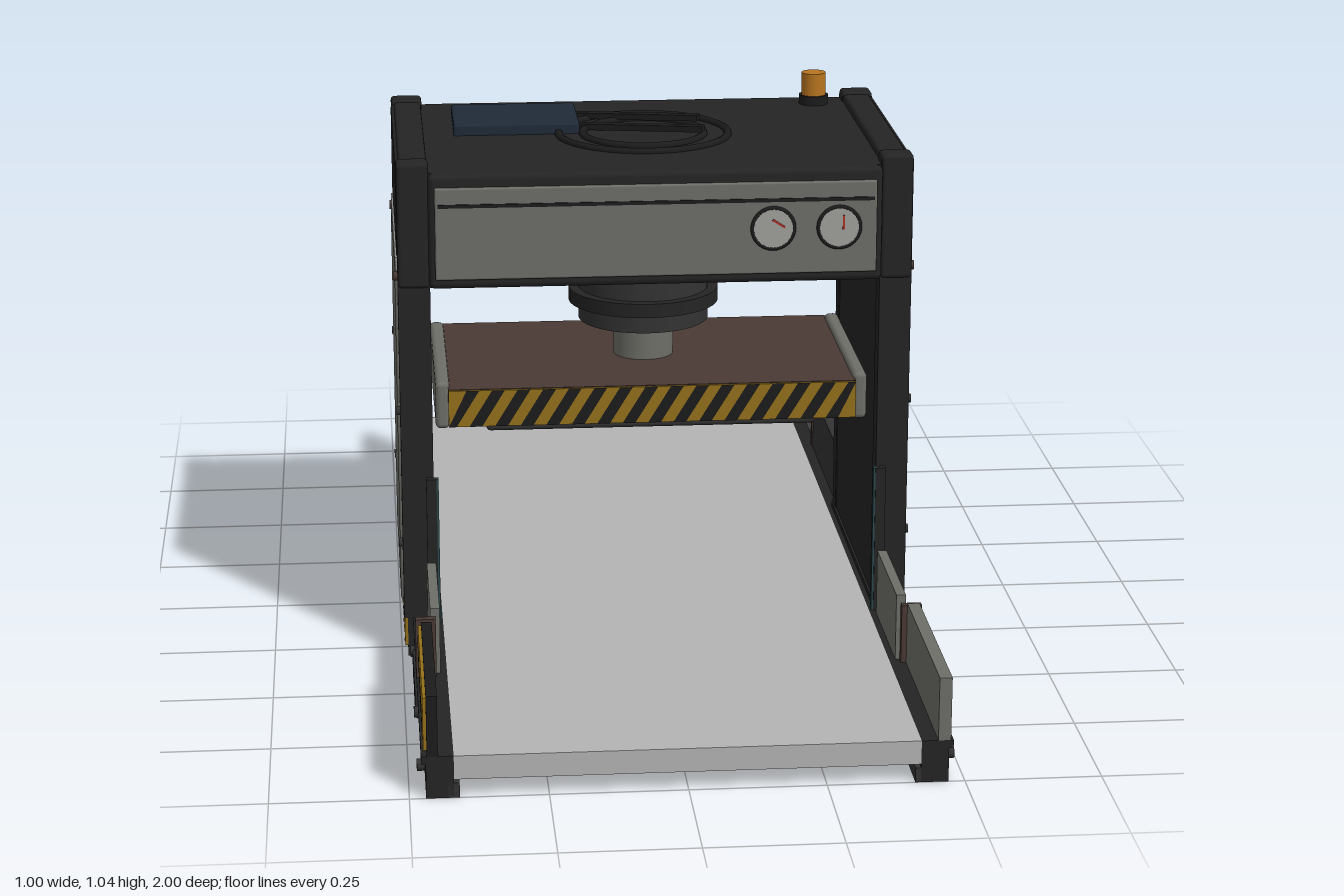
import * as THREE from 'three';
import { RoundedBoxGeometry } from 'three/addons/geometries/RoundedBoxGeometry.js';

const mat = (color) => new THREE.MeshStandardMaterial({ color });
const M = {
  black: mat(0x242424), dark: mat(0x333333), steel: mat(0x6e6e68), light: mat(0x8a8a86), belt: mat(0xb4b4b4),
  yellow: mat(0x94701a), stripe: mat(0x1c1c1c), amber: mat(0xb87420), screen: mat(0x202a38), red: mat(0xb03028),
  dial: mat(0xa0a09c), brown: mat(0x4a3a34), teal: mat(0x2c4a4e),
};

export function createModel() {
  const root = new THREE.Group();

  const add = (name, geo, m, parent = root) => {
    const mesh = new THREE.Mesh(geo, m);
    mesh.name = name;
    parent.add(mesh);
    return mesh;
  };
  // Box from its limits on each axis, optionally with rounded edges
  const box = (name, m, x0, x1, y0, y1, z0, z1, r = 0, parent = root) => {
    const s = [x1 - x0, y1 - y0, z1 - z0];
    const mesh = add(name, r ? new RoundedBoxGeometry(...s, 2, r) : new THREE.BoxGeometry(...s), m, parent);
    mesh.position.set((x0 + x1) / 2, (y0 + y1) / 2, (z0 + z1) / 2);
    return mesh;
  };
  // Same box on the +x side (s = 1) or the -x side (s = -1)
  const sideBox = (s, name, m, x0, x1, ...rest) =>
    s > 0 ? box(name, m, x0, x1, ...rest) : box(name, m, -x1, -x0, ...rest);
  const cyl = (name, m, r, y0, y1, x = 0, z = 0, seg = 40) => {
    const mesh = add(name, new THREE.CylinderGeometry(r, r, y1 - y0, seg), m);
    mesh.position.set(x, (y0 + y1) / 2, z);
    return mesh;
  };
  // Yellow strip with slanted dark bars, facing +z before turning; lean > 0 gives "/"
  const hazard = (name, w, h, count, lean, x, y, z, turn) => {
    const g = new THREE.Group();
    g.name = name;
    add('warningPlate', new THREE.BoxGeometry(w, h, 0.006), M.yellow, g);
    const step = w / count, bar = step * 0.5, half = lean / 2;
    const clamp = (v) => Math.max(-w / 2, Math.min(w / 2, v));
    const shapes = [];
    for (let i = 0; i < count; i++) {
      const c = -w / 2 + (i + 0.5) * step;
      shapes.push(new THREE.Shape([
        [c - bar / 2 - half, -h / 2], [c + bar / 2 - half, -h / 2],
        [c + bar / 2 + half, h / 2], [c - bar / 2 + half, h / 2],
      ].map(([px, py]) => new THREE.Vector2(clamp(px), py))));
    }
    add('warningBars', new THREE.ShapeGeometry(shapes), M.stripe, g).position.z = 0.004;
    g.position.set(x, y, z);
    g.rotation.y = turn;
    root.add(g);
  };

  // Conveyor belt
  box('conveyorBelt', M.belt, -0.42, 0.42, 0.035, 0.08, -1, 1);

  for (const s of [1, -1]) {
    const turn = s * Math.PI / 2;
    // Conveyor rail with foot, fittings and bolts
    sideBox(s, 'rail', M.black, 0.42, 0.47, 0, 0.08, -1, 1);
    sideBox(s, 'railFoot', M.dark, 0.41, 0.43, 0, 0.028, -1, 1);
    sideBox(s, 'railLip', M.black, 0.465, 0.478, 0.065, 0.08, -1, 1);
    for (const [z, w, m] of [[0.87, 0.09, M.brown], [0.565, 0.15, M.brown], [-0.6, 0.12, M.dark], [-0.46, 0.08, M.dark]])
      sideBox(s, 'railFitting', m, 0.46, 0.482, 0.012, 0.062, s * z - w / 2, s * z + w / 2, 0.006);
    for (const z of [-0.94, -0.69, -0.38, 0.38, 0.73, 0.96]) {
      const bolt = cyl('railBolt', M.dark, 0.011, 0, 0.02, s * 0.475, s * z, 10);
      bolt.rotation.z = Math.PI / 2;
      bolt.position.y = 0.04;
    }

    // Guard boards along the rail: one warning board per side, at opposite ends
    sideBox(s, 'innerGuardBoard', M.steel, 0.432, 0.45, 0.08, 0.21, 0.35, 0.6);
    sideBox(s, 'guardBracket', M.brown, 0.44, 0.478, 0.06, 0.195, 0.603, 0.618);
    sideBox(s, 'guardBracket', M.brown, 0.44, 0.478, 0.02, 0.195, -0.73, -0.715);
    if (s > 0) {
      sideBox(s, 'frontGuardBoard', M.steel, 0.45, 0.473, 0.08, 0.2, 0.62, 1);
      sideBox(s, 'warningBacking', M.dark, 0.442, 0.464, 0.08, 0.205, -0.71, -0.35);
      hazard('warningBoard', 0.36, 0.1, 9, 0.04, 0.467, 0.143, -0.53, turn);
      sideBox(s, 'rearGuardBoard', M.steel, 0.45, 0.473, 0.08, 0.205, -1, -0.73);
    } else {
      sideBox(s, 'warningBacking', M.stripe, 0.448, 0.468, 0.08, 0.195, 0.63, 1);
      hazard('warningBoard', 0.36, 0.1, 9, 0.04, -0.471, 0.14, 0.815, turn);
      sideBox(s, 'rearGuardBoard', M.steel, 0.45, 0.473, 0.08, 0.2, -1, -0.62);
      sideBox(s, 'rearInnerBoard', M.steel, 0.432, 0.45, 0.08, 0.21, -0.6, -0.35);
    }

    // Sensor post beside the entrance
    sideBox(s, 'sensorPost', M.black, 0.428, 0.448, 0.08, 0.375, 0.32, 0.335);
    sideBox(s, 'sensorStrip', M.teal, 0.424, 0.43, 0.08, 0.375, 0.322, 0.333);

    // Side wall, corner posts and outer panels
    sideBox(s, 'sideWall', M.black, 0.435, 0.488, 0, 0.98, -0.28, 0.28);
    sideBox(s, 'sidePanel', M.steel, 0.48, 0.5, 0.1, 0.785, -0.255, 0.255, 0.006);
    sideBox(s, 'sidePanelTrim', M.light, 0.48, 0.499, 0.775, 0.8, -0.257, 0.257);
    sideBox(s, 'upperSidePanel', M.black, 0.48, 0.496, 0.8, 0.985, -0.26, 0.26, 0.005);
    sideBox(s, 'topRim', M.black, 0.435, 0.49, 0.96, 0.99, -0.29, 0.29, 0.008);
    sideBox(s, 'baseSkirt', M.black, 0.43, 0.488, 0, 0.09, -0.3, 0.3);
    hazard('baseWarningStrip', 0.6, 0.06, 15, -0.035, s * 0.491, 0.052, 0, turn);
    for (const f of [1, -1]) {
      const z = f * 0.28;
      sideBox(s, 'cornerPost', M.black, 0.433, 0.495, 0.08, 0.985, z - 0.022, z + 0.022);
      sideBox(s, 'cornerCap', M.black, 0.433, 0.495, 0.75, 0.995, z - 0.026, z + 0.026, 0.008);
      for (const y of [0.23, 0.5, 0.77]) {
        const bolt = cyl('postBolt', y > 0.7 ? M.brown : M.dark, 0.009, 0, 0.012, s * 0.496, z, 10);
        bolt.rotation.z = Math.PI / 2;
        bolt.position.y = y;
      }
    }
  }

  // Press head with grey fascia on front and back
  box('headHousing', M.black, -0.45, 0.45, 0.75, 0.975, -0.3, 0.3);
  for (const f of [1, -1]) {
    const frame = box('fasciaFrame', M.black, -0.435, 0.435, 0.75, 0.975, -0.025, 0.025, 0.012);
    frame.position.z = f * 0.292;
    const panel = box('fasciaPanel', M.steel, -0.423, 0.423, 0.77, 0.95, -0.015, 0.015, 0.004);
    panel.position.z = f * 0.31;
    box('fasciaGroove', M.stripe, -0.417, 0.417, 0.912, 0.919, -0.002, 0.002).position.z = f * 0.325;
  }

  // Two round gauges with needles
  for (const [x, nx, ny, tilt] of [[0.223, 0.01, 0.01, 1.0], [0.35, 0.008, 0.01, 0]]) {
    const g = new THREE.Group();
    g.name = 'gauge';
    g.position.set(x, 0.86, 0.325);
    root.add(g);
    add('gaugeFace', new THREE.CylinderGeometry(0.04, 0.04, 0.006, 32), M.dial, g).rotation.x = Math.PI / 2;
    add('gaugeRing', new THREE.TorusGeometry(0.04, 0.004, 8, 40), M.stripe, g);
    const needle = add('gaugeNeedle', new THREE.BoxGeometry(0.004, 0.028, 0.002), M.red, g);
    needle.position.set(nx, ny, 0.0045);
    needle.rotation.z = tilt;
  }

  // Hydraulic ram
  cyl('ramCylinder', M.dark, 0.13, 0.6, 0.76);
  cyl('ramCollar', M.black, 0.15, 0.637, 0.665);
  cyl('ramRod', M.steel, 0.06, 0.5, 0.61);

  // Press plate with warning edges and guide blocks
  box('pressPlate', M.brown, -0.4, 0.4, 0.45, 0.525, -0.235, 0.235);
  box('pressPad', M.dark, -0.325, 0.325, 0.427, 0.452, -0.2, 0.2, 0.008);
  for (const f of [1, -1])
    hazard('plateWarningStrip', 0.8, 0.073, 16, 0.045, 0, 0.487, f * 0.237, f > 0 ? 0 : Math.PI);
  for (const s of [1, -1])
    sideBox(s, 'guideBlock', M.steel, 0.397, 0.425, 0.44, 0.535, -0.22, 0.22, 0.01);

  // Roof vent: flat rings and two diagonal bars
  for (const r of [0.168, 0.12]) {
    const ring = add('ventRing', new THREE.TorusGeometry(r, 0.008, 8, 48), M.stripe);
    ring.rotation.x = Math.PI / 2;
    ring.position.y = 0.977;
  }
  for (const z of [-0.1, 0]) {
    const bar = add('ventBar', new THREE.BoxGeometry(0.26, 0.012, 0.02), M.stripe);
    bar.position.set(-0.005, 0.988, z);
    bar.rotation.set(0, -0.4, 0.05);
  }

  // Roof display and warning lamp
  box('roofDisplay', M.screen, -0.375, -0.125, 0.97, 0.997, -0.2, -0.01, 0.005);
  cyl('lampBase', M.stripe, 0.03, 0.97, 0.994, 0.372, -0.25, 24);
  cyl('lamp', M.amber, 0.025, 0.994, 1.04, 0.372, -0.25, 24);

  return root;
}
